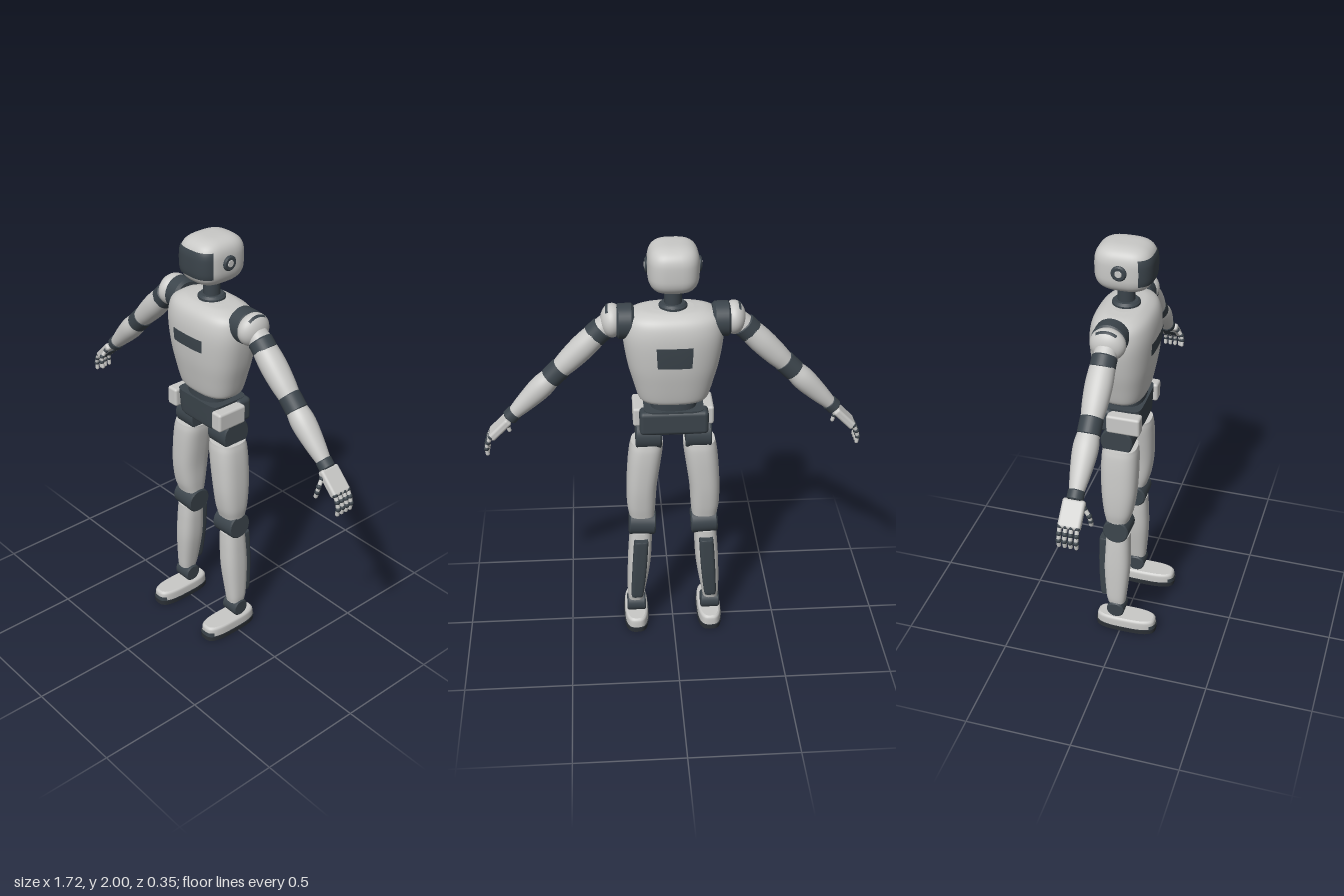
import * as THREE from 'three';
import { RoundedBoxGeometry } from 'three/addons/geometries/RoundedBoxGeometry.js';

const mat = (name, color) => Object.assign(new THREE.MeshStandardMaterial({ color }), { name });
const shell = mat('lightShell', 0xc9c9c7);
const dark = mat('darkJoint', 0x3b444b);
const rubber = mat('soleRubber', 0x2c3137);
const Z = -0.03; // depth of the body axis

const spow = (v, e) => Math.sign(v) * Math.abs(v) ** e;
const rad = THREE.MathUtils.degToRad;

// Skin over superellipse sections [y, cx, cz, halfX, halfZ] listed upwards.
// Optional y range, angle range in degrees and outward offset cut a thin surface patch.
function loft(sections, { exp = 2.6, y0, y1, a0, a1, grow = 0, rows = 28, cols = 40 } = {}) {
  const mid = new THREE.CatmullRomCurve3(sections.map(s => new THREE.Vector3(s[1], s[0], s[2])), false, 'catmullrom');
  const half = new THREE.CatmullRomCurve3(sections.map(s => new THREE.Vector3(s[3], s[4], 0)), false, 'catmullrom');
  const tAt = y => {
    let lo = 0, hi = 1;
    for (let i = 0; i < 30; i++) {
      const m = (lo + hi) / 2;
      if (mid.getPoint(m).y < y) lo = m; else hi = m;
    }
    return lo;
  };
  const patch = a0 !== undefined;
  const t0 = y0 === undefined ? 0 : tAt(y0), t1 = y1 === undefined ? 1 : tAt(y1);
  const start = patch ? rad(a0) : 0, sweep = patch ? rad(a1 - a0) : Math.PI * 2;
  const n = patch ? cols + 1 : cols, pos = [], idx = [];
  for (let r = 0; r <= rows; r++) {
    const t = t0 + (t1 - t0) * r / rows, c = mid.getPoint(t), h = half.getPoint(t);
    for (let i = 0; i < n; i++) {
      const a = start + sweep * i / cols;
      pos.push(c.x + (h.x + grow) * spow(Math.cos(a), 2 / exp), c.y, c.z + (h.y + grow) * spow(Math.sin(a), 2 / exp));
    }
  }
  for (let r = 0; r < rows; r++) for (let i = 0; i < cols; i++) {
    const a = r * n + i, b = r * n + (i + 1) % n;
    idx.push(a, a + n, b, b, a + n, b + n);
  }
  // End caps keep their own vertices so the rim stays sharp
  if (!patch) for (const r of [0, rows]) {
    const c = mid.getPoint(r ? t1 : t0), base = pos.length / 3, ring = pos.slice(r * n * 3, (r + 1) * n * 3);
    pos.push(c.x, c.y, c.z, ...ring);
    for (let i = 0; i < n; i++) {
      const a = base + 1 + i, b = base + 1 + (i + 1) % n;
      idx.push(base, r ? b : a, r ? a : b);
    }
  }
  const g = new THREE.BufferGeometry();
  g.setAttribute('position', new THREE.Float32BufferAttribute(pos, 3));
  g.setIndex(idx);
  g.computeVertexNormals();
  return g;
}

function add(parent, name, geometry, material, x = 0, y = 0, z = 0) {
  const m = new THREE.Mesh(geometry, material);
  m.name = name;
  m.position.set(x, y, z);
  parent.add(m);
  return m;
}

// Lathed drum with bevelled rims, axis along y
function drum(r, h, bevel = 0.006) {
  const k = h / 2, p = [[0, -k], [r - bevel, -k], [r - bevel, -k], [r, -k + bevel], [r, -k + bevel],
    [r, k - bevel], [r, k - bevel], [r - bevel, k], [r - bevel, k], [0, k]];
  return new THREE.LatheGeometry(p.map(q => new THREE.Vector2(...q)), 36);
}
const drumX = (r, w, bevel) => drum(r, w, bevel).rotateZ(Math.PI / 2);

// Finger made of light links and dark knuckles
function finger(parent, name, points, r) {
  const g = new THREE.Group();
  g.name = name;
  points.slice(1).forEach((q, i) => {
    const p = points[i], d = q.clone().sub(p);
    const link = add(g, 'fingerLink', new THREE.CapsuleGeometry(r, d.length() * 0.75, 4, 10), shell);
    link.position.copy(p).lerp(q, 0.5);
    link.quaternion.setFromUnitVectors(new THREE.Vector3(0, 1, 0), d.normalize());
    add(g, 'knuckle', new THREE.SphereGeometry(r * 1.3, 12, 8), dark, p.x, p.y, p.z);
  });
  parent.add(g);
}

function makeHead(body) {
  const head = [];
  for (let i = 0; i <= 24; i++) {
    const v = -Math.PI / 2 + Math.PI * i / 24, k = Math.max(0.01, Math.abs(Math.cos(v)) ** 0.62);
    head.push([1.895 + 0.105 * spow(Math.sin(v), 0.62), 0, Z, 0.112 * k, 0.13 * k]);
  }
  add(body, 'head', loft(head, { exp: 3, rows: 48 }), shell);
  add(body, 'visor', loft(head, { exp: 3, y0: 1.84, y1: 1.96, a0: 29, a1: 151, grow: 0.004 }), dark);
  for (const s of [1, -1]) {
    add(body, 'earRing', drumX(0.034, 0.02), dark, s * 0.112, 1.9, Z);
    add(body, 'earCentre', drumX(0.016, 0.008, 0.002), shell, s * 0.12, 1.9, Z);
  }
  add(body, 'neck', drum(0.038, 0.13), dark, 0, 1.755, Z);
  add(body, 'neckCollar', drum(0.062, 0.035, 0.01), dark, 0, 1.708, Z);
}

function makeTorso(body) {
  const torso = [[1.27, 0, Z, 0.147, 0.095], [1.29, 0, Z, 0.16, 0.105], [1.36, 0, Z, 0.18, 0.12],
    [1.45, 0, Z, 0.203, 0.135], [1.56, 0, Z, 0.22, 0.143], [1.63, 0, Z, 0.218, 0.138],
    [1.675, 0, Z, 0.2, 0.12], [1.7, 0, Z, 0.15, 0.085], [1.707, 0, Z, 0.09, 0.05]];
  add(body, 'torso', loft(torso, { rows: 40, cols: 56 }), shell);
  add(body, 'chestPanel', loft(torso, { y0: 1.51, y1: 1.57, a0: 71, a1: 109, grow: 0.004 }), dark);
  add(body, 'backPanel', loft(torso, { y0: 1.47, y1: 1.57, a0: 255, a1: 285, grow: 0.004 }), dark);
  add(body, 'waist', loft([[1.22, 0, Z, 0.105, 0.09], [1.28, 0, Z, 0.105, 0.09]], { rows: 2 }), dark);
  add(body, 'pelvis', loft([[1.115, 0, Z, 0.118, 0.09], [1.135, 0, Z, 0.125, 0.096], [1.235, 0, Z, 0.135, 0.1]], { exp: 7 }), dark);
  add(body, 'pelvisBack', new RoundedBoxGeometry(0.31, 0.115, 0.08, 3, 0.02), dark, 0, 1.175, -0.095);
  for (const s of [1, -1])
    add(body, 'hipBlock', new RoundedBoxGeometry(0.06, 0.09, 0.155, 3, 0.012), shell, s * 0.153, 1.18, 0.003);
}

function makeLeg(body, s) {
  const leg = new THREE.Group();
  leg.name = s > 0 ? 'leftLeg' : 'rightLeg';
  body.add(leg);
  const side = list => list.map(([y, x, ...rest]) => [y, x * s, ...rest]);
  add(leg, 'hipJoint', drumX(0.075, 0.118), dark, s * 0.114, 1.08, Z);
  add(leg, 'thigh', loft(side([[0.64, 0.148, -0.028, 0.06, 0.056], [0.7, 0.15, -0.024, 0.067, 0.07],
    [0.8, 0.147, -0.022, 0.071, 0.082], [0.92, 0.135, -0.022, 0.076, 0.086],
    [1.0, 0.125, -0.022, 0.077, 0.084], [1.04, 0.12, -0.022, 0.073, 0.078]])), shell);
  add(leg, 'knee', drumX(0.062, 0.125), dark, s * 0.147, 0.59, -0.027).rotation.z = s * 0.05;
  add(leg, 'shin', loft(side([[0.15, 0.183, -0.028, 0.037, 0.042], [0.2, 0.18, -0.03, 0.043, 0.05],
    [0.35, 0.166, -0.03, 0.054, 0.062], [0.47, 0.158, -0.028, 0.055, 0.06], [0.55, 0.154, -0.027, 0.052, 0.056]])), shell);
  add(leg, 'calfPlate', loft(side([[0.19, 0.178, -0.082, 0.026, 0.02], [0.22, 0.176, -0.084, 0.03, 0.024],
    [0.35, 0.166, -0.09, 0.034, 0.026], [0.5, 0.156, -0.09, 0.034, 0.026], [0.52, 0.155, -0.09, 0.03, 0.022]]), { exp: 4 }), dark);
  add(leg, 'ankle', drumX(0.043, 0.09), dark, s * 0.181, 0.115, -0.027);
  // Foot: rubber sole, shell upper and toe cap
  const upper = side([[0.02, 0.181, 0.02, 0.057, 0.146], [0.055, 0.181, 0.02, 0.056, 0.145],
    [0.066, 0.181, 0.02, 0.053, 0.141], [0.072, 0.181, 0.02, 0.046, 0.134]]);
  add(leg, 'footUpper', loft(upper, { exp: 3 }), shell);
  add(leg, 'toeCap', loft(upper, { exp: 3, y0: 0.022, y1: 0.048, a0: 50, a1: 130, grow: 0.004 }), dark);
  add(leg, 'sole', loft(side([[0, 0.181, 0.02, 0.059, 0.149], [0.025, 0.181, 0.02, 0.061, 0.151]]), { exp: 3, rows: 2 }), rubber);
}

function makeArm(body, s) {
  const group = new THREE.Group();
  group.name = s > 0 ? 'leftArm' : 'rightArm';
  body.add(group);
  // Shoulder: dark mount, light cap and a slot across its top
  const az = -0.033;
  add(group, 'shoulderMount', drumX(0.078, 0.08, 0.012), dark, s * 0.21, 1.645, az - 0.005);
  add(group, 'shoulderCap', new THREE.SphereGeometry(1, 32, 24).scale(0.052, 0.074, 0.079), shell, s * 0.265, 1.648, az);
  const from = rad(58), len = rad(13);
  const slot = new THREE.SphereGeometry(1.03, 20, 4, rad(-38), rad(76), s > 0 ? from : Math.PI - from - len, len);
  add(group, 'shoulderSlot', slot.rotateZ(-Math.PI / 2).scale(0.052, 0.074, 0.079), dark, s * 0.265, 1.648, az);

  // Arm frame: local y runs from the shoulder to the hand
  const arm = new THREE.Group();
  arm.name = 'armChain';
  arm.position.set(s * 0.27, 1.65, az);
  arm.rotation.z = -s * Math.PI * 0.75;
  group.add(arm);
  const round = list => loft(list.map(([y, r]) => [y, 0, 0, r, r * 1.05]), { exp: 2.1 });
  add(arm, 'upperArmRing', drum(0.055, 0.06), dark, 0, 0.08);
  add(arm, 'upperArm', round([[0.02, 0.045], [0.11, 0.053], [0.18, 0.056], [0.26, 0.052], [0.32, 0.045]]), shell);
  add(arm, 'elbow', drum(0.05, 0.08), dark, 0, 0.352);
  add(arm, 'forearm', round([[0.385, 0.045], [0.43, 0.051], [0.48, 0.05], [0.56, 0.041], [0.625, 0.031]]), shell);
  add(arm, 'wrist', drum(0.036, 0.045), dark, 0, 0.642);
  add(arm, 'palm', new RoundedBoxGeometry(0.036, 0.125, 0.098, 3, 0.012), shell, 0, 0.723);
  add(arm, 'palmPad', new THREE.BoxGeometry(0.006, 0.06, 0.06), dark, s * 0.018, 0.73);

  const path = list => list.map(([x, y, z]) => new THREE.Vector3(x * s, y, z));
  for (let i = 0; i < 4; i++) {
    const z = -0.071 + i * 0.025;
    finger(group, 'finger', path([[0.824, 1.104, z], [0.839, 1.076, z], [0.847, 1.046, z], [0.843, 1.015, z]]), 0.0095);
  }
  finger(group, 'thumb', path([[0.752, 1.155, 0.012], [0.757, 1.126, 0.033], [0.754, 1.1, 0.038], [0.746, 1.072, 0.038]]), 0.0095);
}

export function createModel() {
  const body = new THREE.Group();
  body.name = 'humanoidRobot';
  makeHead(body);
  makeTorso(body);
  for (const s of [1, -1]) {
    makeLeg(body, s);
    makeArm(body, s);
  }
  return body;
}
